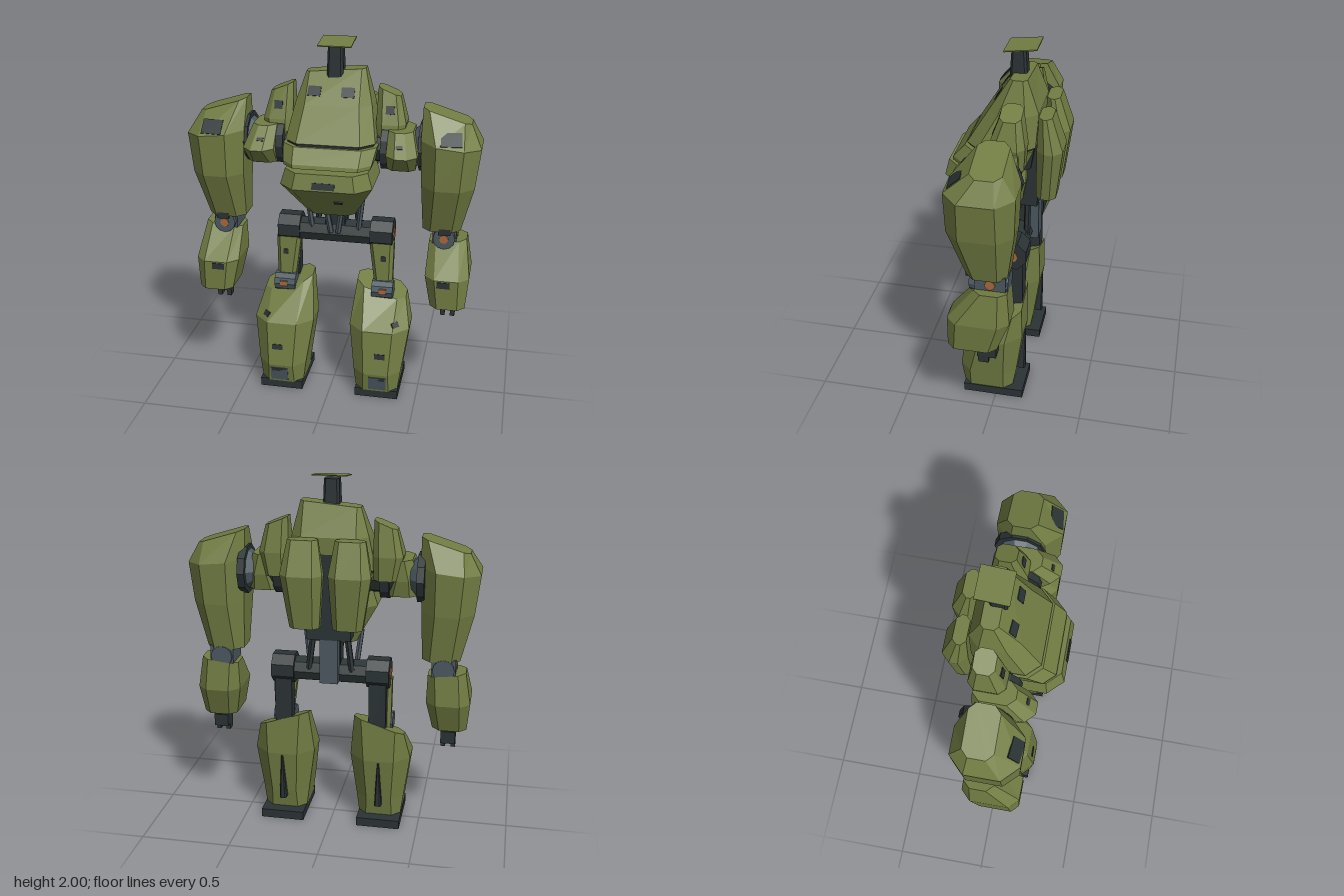
import * as THREE from 'three';

const mat = (name, color) => {
  const m = new THREE.MeshStandardMaterial({ color });
  m.name = name;
  return m;
};

export function createModel() {
  const olive = mat('olive armour', 0x727d43);
  const dark = mat('dark frame', 0x2b3335);
  const steel = mat('blue grey steel', 0x4b5860);
  const orange = mat('orange joint cap', 0xa8683c);
  const root = new THREE.Group();
  root.name = 'walkingMachine';

  const add = (name, geometry, material) => {
    const m = new THREE.Mesh(geometry, material);
    m.name = name;
    root.add(m);
    return m;
  };

  // Armour shell: chamfered rectangles [y, x0, x1, z0, z1, chamfer, slopeX, slopeZ]
  // stacked upward and faceted; side = -1 mirrors it.
  const shell = (name, sections, material = olive, side = 1) => {
    const rings = sections.map(([y, a, b, z0, z1, c, sx = 0, sz = 0]) => {
      const x0 = side > 0 ? a : -b, x1 = side > 0 ? b : -a;
      return [[x1, z0 + c], [x1, z1 - c], [x1 - c, z1], [x0 + c, z1],
        [x0, z1 - c], [x0, z0 + c], [x0 + c, z0], [x1 - c, z0]].map(([x, z]) =>
        [x, y + side * sx * (x - (x0 + x1) / 2) + sz * (z - (z0 + z1) / 2), z]);
    });
    const pos = [], tri = (...p) => p.forEach(v => pos.push(...v));
    for (let r = 0; r < rings.length - 1; r++) {
      const p = rings[r], q = rings[r + 1];
      for (let i = 0; i < 8; i++) {
        const j = (i + 1) % 8;
        tri(p[i], q[i], p[j]);
        tri(p[j], q[i], q[j]);
      }
    }
    const p = rings[0], q = rings[rings.length - 1];
    for (let i = 1; i < 7; i++) {
      tri(p[0], p[i], p[i + 1]);
      tri(q[0], q[i + 1], q[i]);
    }
    const g = new THREE.BufferGeometry();
    g.setAttribute('position', new THREE.Float32BufferAttribute(pos, 3));
    g.computeVertexNormals();
    return add(name, g, material);
  };

  // Box given by its limits
  const box = (name, x0, x1, y0, y1, z0, z1, material, side = 1) => {
    const m = add(name, new THREE.BoxGeometry(x1 - x0, y1 - y0, z1 - z0), material);
    m.position.set(side * (x0 + x1) / 2, (y0 + y1) / 2, (z0 + z1) / 2);
    return m;
  };

  // Faceted rod between two points
  const rod = (name, a, b, r0, r1, material, sides = 8) => {
    const p = new THREE.Vector3(...a), q = new THREE.Vector3(...b), d = q.clone().sub(p);
    const g = new THREE.CylinderGeometry(r1, r0, d.length(), sides).toNonIndexed();
    g.computeVertexNormals();
    const m = add(name, g, material);
    m.position.copy(p).add(q).multiplyScalar(0.5);
    m.quaternion.setFromUnitVectors(new THREE.Vector3(0, 1, 0), d.normalize());
    return m;
  };

  // Thin plate laid on the front of a shell at (x, y)
  const ray = new THREE.Raycaster();
  const plate = (name, target, x, y, w, h, material = dark) => {
    ray.set(new THREE.Vector3(x, y, 2), new THREE.Vector3(0, 0, -1));
    const hit = ray.intersectObject(target)[0];
    if (!hit) return;
    const m = add(name, new THREE.BoxGeometry(w, h, 0.008), material);
    m.position.copy(hit.point);
    m.lookAt(hit.point.clone().add(hit.face.normal));
  };

  // Torso
  const chest = shell('chest', [
    [1.5, -0.24, 0.24, -0.17, 0.19, 0.07],
    [1.68, -0.205, 0.205, -0.18, 0.08, 0.06],
    [1.845, -0.16, 0.16, -0.12, -0.03, 0.02, 0.09],
  ]);
  shell('chestGroove', [
    [1.36, -0.2, 0.2, -0.14, 0.17, 0.06],
    [1.505, -0.235, 0.235, -0.165, 0.185, 0.07],
  ], dark);
  shell('chestLip', [
    [1.39, -0.23, 0.23, -0.12, 0.27, 0.06],
    [1.41, -0.235, 0.235, -0.13, 0.265, 0.06],
    [1.485, -0.25, 0.25, -0.16, 0.2, 0.07],
  ]);
  const belly = shell('belly', [
    [1.08, -0.13, 0.13, -0.08, 0.11, 0.04],
    [1.29, -0.245, 0.245, -0.12, 0.315, 0.08],
    [1.375, -0.22, 0.22, -0.12, 0.295, 0.07],
  ]);
  box('backCore', -0.12, 0.12, 1.12, 1.6, -0.175, 0, dark);
  for (const x of [-0.1, 0.08]) plate('chestSensor', chest, x, 1.745, 0.07, 0.055);
  plate('bellyVent', belly, 0, 1.315, 0.12, 0.035);
  plate('bellyVentGlow', belly, 0, 1.307, 0.07, 0.012, orange);
  plate('bellyPort', belly, 0.065, 1.2, 0.045, 0.025);

  // Mast with a tilted cover plate
  shell('mast', [
    [1.8, -0.045, 0.045, -0.1, -0.005, 0.012],
    [1.97, -0.04, 0.04, -0.09, -0.015, 0.012],
  ], dark);
  const cover = box('mastCover', -0.09, 0.09, 1.985, 1.991, -0.157, 0.015, olive);
  cover.rotation.x = 0.12;

  // Waist and pelvis
  box('waistPillar', -0.055, 0.055, 0.93, 1.14, -0.12, -0.02, dark);
  box('waistBackPlate', -0.05, 0.05, 0.87, 1.13, -0.172, -0.12, steel);
  rod('pelvisBar', [-0.22, 0.915, -0.07], [0.22, 0.915, -0.07], 0.07, 0.07, dark);

  for (const s of [1, -1]) {
    rod('waistPiston', [s * 0.13, 0.93, -0.03], [s * 0.155, 1.14, -0.01], 0.016, 0.016, steel, 6);
    rod('waistStrut', [s * 0.02, 0.93, 0], [s * 0.05, 1.12, 0.02], 0.016, 0.016, steel, 6);
    rod('rearPiston', [s * 0.12, 0.93, -0.12], [s * 0.09, 1.16, -0.12], 0.018, 0.018, dark, 6);
    const hip = rod('hip', [s * 0.2, 0.92, -0.075], [s * 0.325, 0.92, -0.075], 0.087, 0.087, dark);
    hip.rotateY(Math.PI / 8);
    rod('hipCap', [s * 0.32, 0.92, -0.075], [s * 0.331, 0.92, -0.075], 0.035, 0.035, orange);

    // Back pod with a hollow underside
    shell('backPod', [
      [1.27, 0.06, 0.17, -0.265, -0.205, 0.02],
      [1.21, 0.06, 0.17, -0.265, -0.2, 0.02],
      [1.21, 0.035, 0.195, -0.28, -0.175, 0.03],
      [1.5, 0.015, 0.24, -0.315, -0.18, 0.045],
      [1.68, 0.045, 0.205, -0.255, -0.185, 0.025],
    ], olive, s);

    // Shoulder
    const pad = shell('shoulderPad', [
      [1.45, 0.23, 0.36, -0.14, 0.06, 0.03],
      [1.58, 0.225, 0.385, -0.15, 0.04, 0.035],
      [1.745, 0.23, 0.35, -0.125, -0.015, 0.025, -0.4],
    ], olive, s);
    plate('padSensor', pad, s * 0.3, 1.655, 0.045, 0.045);
    const cowl = shell('shoulderCowl', [
      [1.36, 0.3, 0.45, -0.1, 0.12, 0.03],
      [1.45, 0.3, 0.465, -0.12, 0.205, 0.05],
      [1.56, 0.3, 0.43, -0.12, 0.1, 0.04],
    ], olive, s);
    plate('cowlPort', cowl, s * 0.37, 1.5, 0.035, 0.02);
    rod('shoulderRing', [s * 0.262, 1.45, -0.01], [s * 0.312, 1.45, -0.01], 0.122, 0.122, dark, 12);
    rod('shoulderAxle', [s * 0.2, 1.45, -0.02], [s * 0.44, 1.45, -0.02], 0.09, 0.09, dark);
    rod('shoulderCone', [s * 0.39, 1.46, -0.03], [s * 0.48, 1.46, -0.03], 0.06, 0.125, steel, 10);
    rod('shoulderFlange', [s * 0.46, 1.46, -0.035], [s * 0.5, 1.46, -0.035], 0.135, 0.135, dark, 10);

    // Arm
    const upperArm = shell('upperArm', [
      [1.015, 0.495, 0.7, -0.125, 0.085, 0.045],
      [1.28, 0.485, 0.765, -0.165, 0.175, 0.075],
      [1.51, 0.475, 0.79, -0.175, 0.18, 0.085, -0.1],
      [1.645, 0.475, 0.73, -0.11, 0.05, 0.035, -0.31],
    ], olive, s);
    plate('armSensor', upperArm, s * 0.635, 1.55, 0.11, 0.085);
    box('elbowNeck', 0.55, 0.68, 0.93, 1.03, -0.12, 0.04, steel, s);
    box('elbowHinge', 0.585, 0.65, 1, 1.07, -0.05, 0.092, dark, s);
    rod('elbow', [s * 0.615, 0.97, -0.13], [s * 0.615, 0.97, 0.07], 0.06, 0.06, steel, 12);
    rod('elbowCap', [s * 0.615, 0.97, 0.06], [s * 0.615, 0.97, 0.076], 0.025, 0.025, orange);
    rod('elbowSideCap', [s * 0.67, 0.98, -0.04], [s * 0.686, 0.98, -0.04], 0.028, 0.028, orange);
    const forearm = shell('forearm', [
      [0.66, 0.59, 0.72, -0.05, 0.14, 0.03],
      [0.6, 0.59, 0.72, -0.05, 0.14, 0.03],
      [0.6, 0.56, 0.75, -0.08, 0.18, 0.04],
      [0.77, 0.525, 0.765, -0.145, 0.18, 0.055],
      [0.94, 0.53, 0.735, -0.13, 0.04, 0.04, 0.12],
    ], olive, s);
    plate('forearmPort', forearm, s * 0.63, 0.745, 0.07, 0.035);

    // Hand
    box('wrist', 0.625, 0.685, 0.57, 0.68, -0.05, 0.01, steel, s);
    box('palm', 0.61, 0.69, 0.52, 0.59, -0.07, 0.03, dark, s);
    for (const x of [0.61, 0.665]) box('finger', x, x + 0.025, 0.485, 0.53, -0.03, 0.025, dark, s);

    // Leg
    const thigh = shell('thighPlate', [
      [0.58, 0.235, 0.33, -0.07, 0.01, 0.02],
      [0.88, 0.195, 0.335, -0.08, 0.0, 0.02],
    ], olive, s);
    plate('thighPort', thigh, s * 0.28, 0.79, 0.03, 0.03);
    box('thighPost', 0.215, 0.31, 0.55, 0.9, -0.135, -0.06, dark, s);
    rod('knee', [s * 0.22, 0.605, 0.0], [s * 0.34, 0.605, 0.0], 0.055, 0.055, steel, 10);
    box('kneeCap', 0.265, 0.305, 0.595, 0.625, 0.04, 0.06, orange, s);
    const calf = shell('lowerLeg', [
      [0.045, 0.155, 0.395, -0.09, 0.19, 0.045],
      [0.16, 0.14, 0.41, -0.11, 0.21, 0.065],
      [0.41, 0.105, 0.445, -0.145, 0.17, 0.085],
      [0.605, 0.13, 0.41, -0.14, 0.02, 0.045, -0.33, -0.25],
    ], olive, s);
    plate('shinSidePort', calf, s * 0.37, 0.445, 0.045, 0.03);
    plate('shinPort', calf, s * 0.295, 0.27, 0.06, 0.03);
    plate('anklePlate', calf, s * 0.285, 0.1, 0.1, 0.085, steel);
    plate('ankleSlot', calf, s * 0.285, 0.13, 0.085, 0.02);
    shell('calfFin', [
      [0.13, 0.255, 0.295, -0.15, -0.08, 0.008],
      [0.4, 0.27, 0.28, -0.15, -0.12, 0.003],
    ], dark, s);
    box('foot', 0.155, 0.4, 0, 0.05, -0.155, 0.185, dark, s);
  }
  return root;
}
